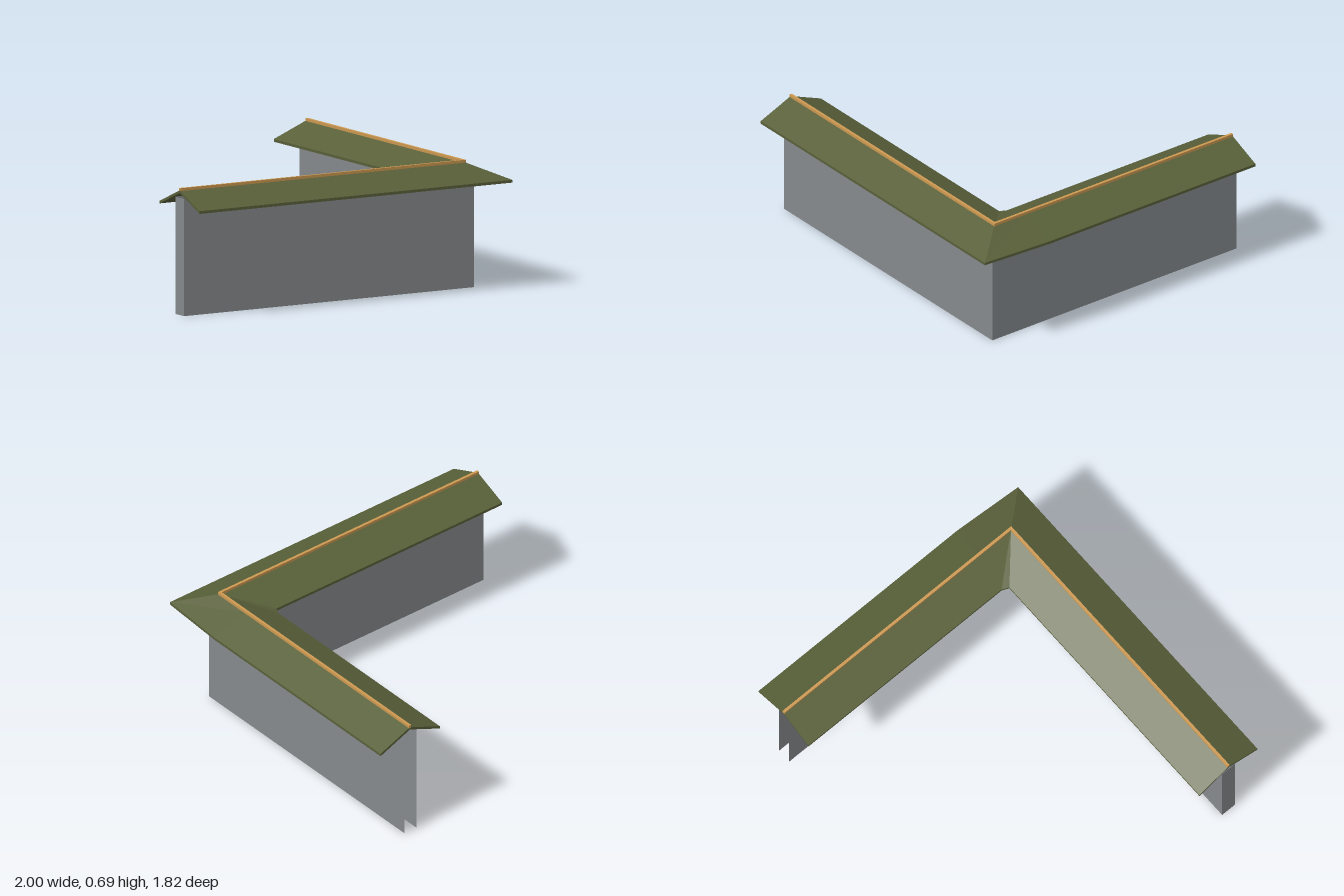
import * as THREE from 'three';

const wallGrey = new THREE.MeshStandardMaterial({ color: 0x85898c, side: THREE.DoubleSide });
wallGrey.name = 'wallGrey';
const roofOlive = new THREE.MeshStandardMaterial({ color: 0x596039 });
roofOlive.name = 'roofOlive';
const ridgeOchre = new THREE.MeshStandardMaterial({ color: 0xcc9850 });
ridgeOchre.name = 'ridgeOchre';

// Flat-shaded geometry from quads with counter-clockwise corners
function quadsGeometry(quads) {
  const pos = [];
  for (const [a, b, c, d] of quads) for (const p of [a, b, c, a, c, d]) pos.push(...p);
  const g = new THREE.BufferGeometry();
  g.setAttribute('position', new THREE.Float32BufferAttribute(pos, 3));
  g.computeVertexNormals();
  return g;
}

// Hollow wall: a vertical ribbon along a plan line
function wallGeometry(plan, height) {
  const quads = [];
  for (let i = 0; i + 1 < plan.length; i++) {
    const [x0, z0] = plan[i], [x1, z1] = plan[i + 1];
    quads.push([[x0, 0, z0], [x1, 0, z1], [x1, height, z1], [x0, height, z0]]);
  }
  return quadsGeometry(quads);
}

// Gabled roof: a thin chevron section carried along the plan stations
function roofGeometry(stations) {
  const eave = 0.58, ridge = 0.665, thick = 0.015;
  const rings = stations.map(({ outer: o, ridge: r, inner: n }) => [
    [o[0], eave, o[1]], [o[0], eave + thick, o[1]],
    [r[0], ridge + thick, r[1]],
    [n[0], eave + thick, n[1]], [n[0], eave, n[1]],
    [r[0], ridge, r[1]],
  ]);
  const quads = [];
  for (let i = 0; i + 1 < rings.length; i++) {
    const A = rings[i], B = rings[i + 1];
    for (let j = 0; j < 6; j++) {
      const k = (j + 1) % 6;
      quads.push([A[j], B[j], B[k], A[k]]);
    }
  }
  // end caps
  const last = rings[rings.length - 1];
  for (const cap of [[0, 1, 2, 5], [5, 2, 3, 4]]) {
    quads.push(cap.map((j) => rings[0][j]));
    quads.push(cap.map((j) => last[j]).reverse());
  }
  return quadsGeometry(quads);
}

export function createModel() {
  const model = new THREE.Group();
  model.name = 'cornerWall';
  const add = (name, geometry, material) => {
    const mesh = new THREE.Mesh(geometry, material);
    mesh.name = name;
    model.add(mesh);
    return mesh;
  };

  // L-shaped wall, closed at the front wing's end and open at the side wing's end
  add('wall', wallGeometry([
    [0.75, -0.91], [0.75, 0.66], [-1, 0.66], [-1, 0.75], [0.833, 0.75], [0.833, -0.91],
  ], 0.64), wallGrey);

  // roof over both wings
  add('roof', roofGeometry([
    { outer: [-1, 0.91], ridge: [-1, 0.705], inner: [-1, 0.5] },
    { outer: [0.975, 0.91], ridge: [0.795, 0.705], inner: [0.57, 0.5] },
    { outer: [1, 0.5], ridge: [0.795, 0.48], inner: [0.588, 0.46] },
    { outer: [1, -0.91], ridge: [0.795, -0.91], inner: [0.588, -0.91] },
  ]), roofOlive);

  // ridge caps
  const w = 0.016, h = 0.018, y = 0.683;
  add('frontRidgeCap', new THREE.BoxGeometry(1.803, h, w), ridgeOchre).position.set(-0.0985, y, 0.705);
  add('sideRidgeCap', new THREE.BoxGeometry(w, h, 1.607), ridgeOchre).position.set(0.795, y, -0.1065);

  return model;
}
